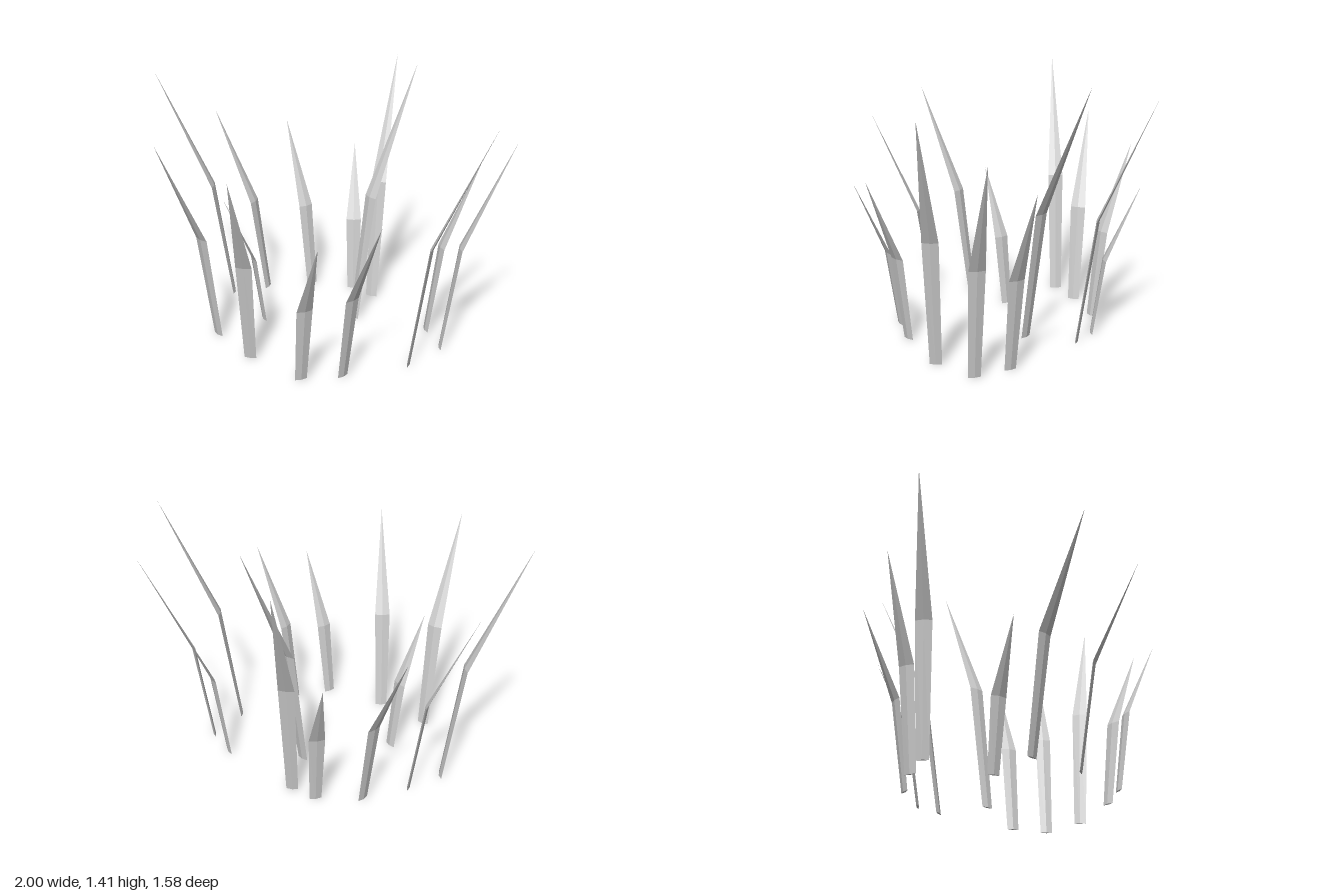
import * as THREE from 'three';

// One blade per row: base x, base z, tip x, tip z, height
const BLADES = [
  [-0.17, -0.48, -0.365, -0.69, 0.955],
  [-0.418, -0.385, -0.73, -0.46, 1.07],
  [-0.598, -0.28, -1.0, -0.24, 1.34],
  [-0.34, 0.005, -0.515, 0.138, 0.77],
  [-0.543, 0.224, -0.735, 0.528, 1.2],
  [-0.308, 0.424, -0.3, 0.755, 1.125],
  [0.002, 0.578, 0.137, 0.789, 0.845],
  [0.206, 0.506, 0.42, 0.672, 0.93],
  [0.522, 0.325, 0.92, 0.348, 1.35],
  [0.664, 0.118, 1.0, 0.025, 1.165],
  [0.567, -0.055, 0.822, -0.19, 0.99],
  [0.153, -0.12, 0.427, -0.438, 1.41],
  [0.205, -0.393, 0.269, -0.793, 1.36],
  [0.08, -0.475, 0.038, -0.722, 0.825],
];

// Cross-sections along a blade: share of height, share of lean, half width, half thickness
const SECTIONS = [
  [0, 0, 0.032, 0.007],
  [0.505, 0.25, 0.0425, 0.008],
  [1, 1, 0, 0],
];

// Corners of the thin diamond section: across the blade, along the lean
const CORNERS = [[-1, 0], [0, 1], [1, 0], [0, -1]];

// Thin blade with a shallow ridge on both faces, bent at half height
function bladeGeometry(bx, bz, tx, tz, height) {
  const lean = new THREE.Vector3(tx - bx, 0, tz - bz);
  const out = lean.clone().normalize();
  const side = new THREE.Vector3(0, 1, 0).cross(out);
  const positions = [];
  for (const [h, l, w, t] of SECTIONS) {
    const centre = new THREE.Vector3(bx, h * height, bz).addScaledVector(lean, l);
    for (const [s, o] of CORNERS) {
      const p = centre.clone().addScaledVector(side, s * w).addScaledVector(out, o * t);
      positions.push(p.x, p.y, p.z);
    }
  }
  const n = CORNERS.length;
  const index = [0, 2, 1, 0, 3, 2]; // closed foot
  for (let i = 0; i < n; i++) {
    const j = (i + 1) % n;
    index.push(i, j, i + n, j, j + n, i + n); // lower stem
    index.push(i + n, j + n, i + 2 * n); // pointed upper half
  }
  const geometry = new THREE.BufferGeometry();
  geometry.setAttribute('position', new THREE.Float32BufferAttribute(positions, 3));
  geometry.setIndex(index);
  const flat = geometry.toNonIndexed();
  flat.computeVertexNormals();
  return flat;
}

export function createModel() {
  const tuft = new THREE.Group();
  tuft.name = 'grassTuft';
  const material = new THREE.MeshStandardMaterial({ color: 0xcccccc, flatShading: true });
  BLADES.forEach((blade, i) => {
    const mesh = new THREE.Mesh(bladeGeometry(...blade), material);
    mesh.name = `grassBlade${i + 1}`;
    tuft.add(mesh);
  });
  return tuft;
}
